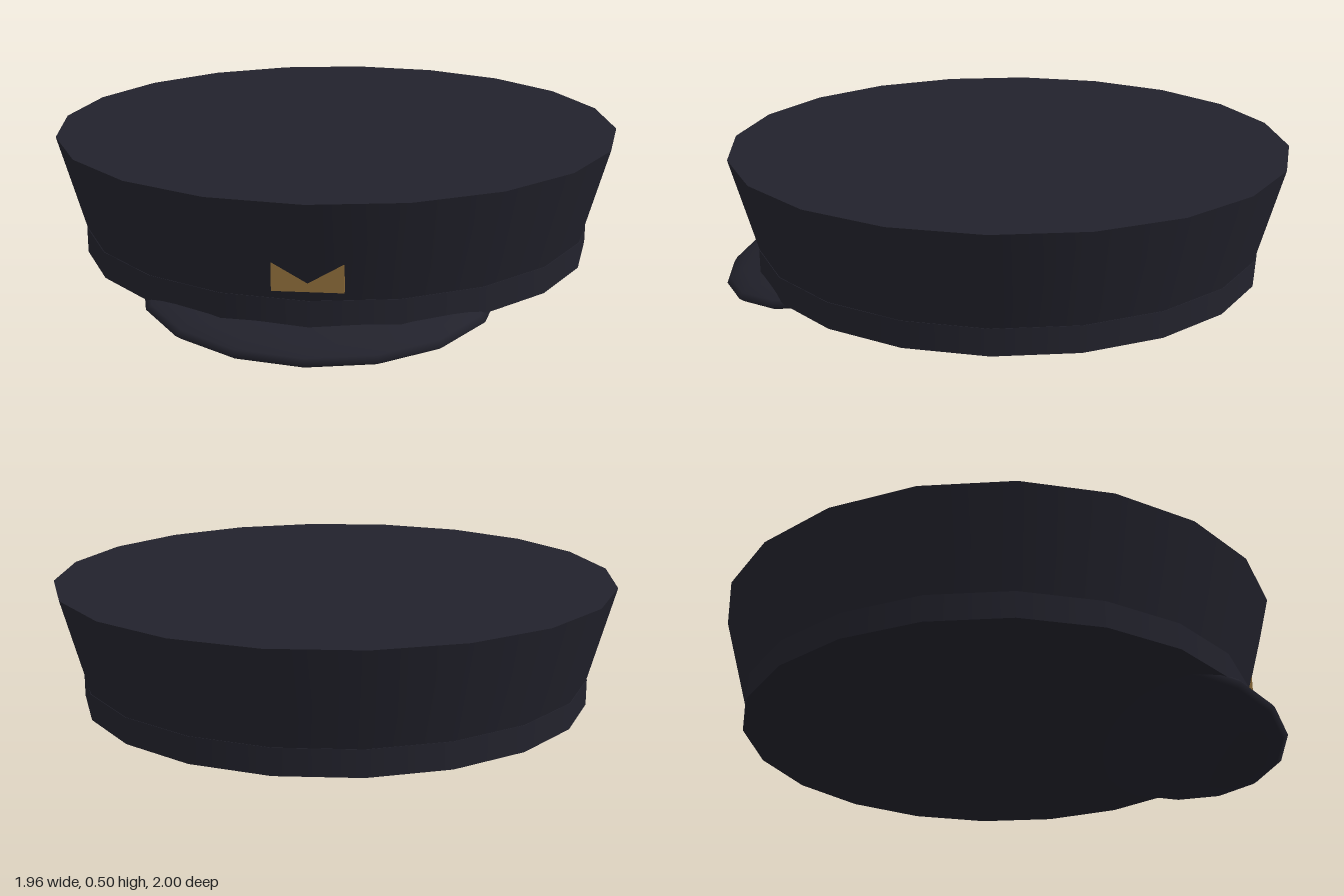
import * as THREE from 'three';

const navy = new THREE.MeshStandardMaterial({ color: 0x22222c });
navy.name = 'navy cloth';
const gold = new THREE.MeshStandardMaterial({ color: 0x92703c });
gold.name = 'gold';

function addPart(group, name, geometry, material, x, y, z) {
  const mesh = new THREE.Mesh(geometry, material);
  mesh.name = name;
  mesh.position.set(x, y, z);
  group.add(mesh);
  return mesh;
}

export function createModel() {
  const cap = new THREE.Group();
  cap.name = 'peakedCap';
  const sides = 20, centreZ = -0.02;

  // Flared crown with a flat top
  addPart(cap, 'crown', new THREE.CylinderGeometry(0.98, 0.89, 0.33, sides), navy, 0, 0.345, centreZ);

  // Straight head band, closed underneath
  addPart(cap, 'band', new THREE.CylinderGeometry(0.892, 0.892, 0.09, sides), navy, 0, 0.135, centreZ);

  // Peak: a flattened ellipsoid dipping toward the front
  const peakShape = new THREE.SphereGeometry(1, 16, 12);
  peakShape.rotateY(Math.PI / 2);
  peakShape.scale(0.575, 0.062, 0.435);
  const peak = addPart(cap, 'peak', peakShape, navy, 0, 0.108, 0.57);
  peak.rotation.x = 0.19;

  // Upright badge, sunk into the sloping crown so its top edge shows a notch
  addPart(cap, 'badge', new THREE.BoxGeometry(0.22, 0.09, 0.03), gold, 0, 0.26, 0.872);

  return cap;
}
